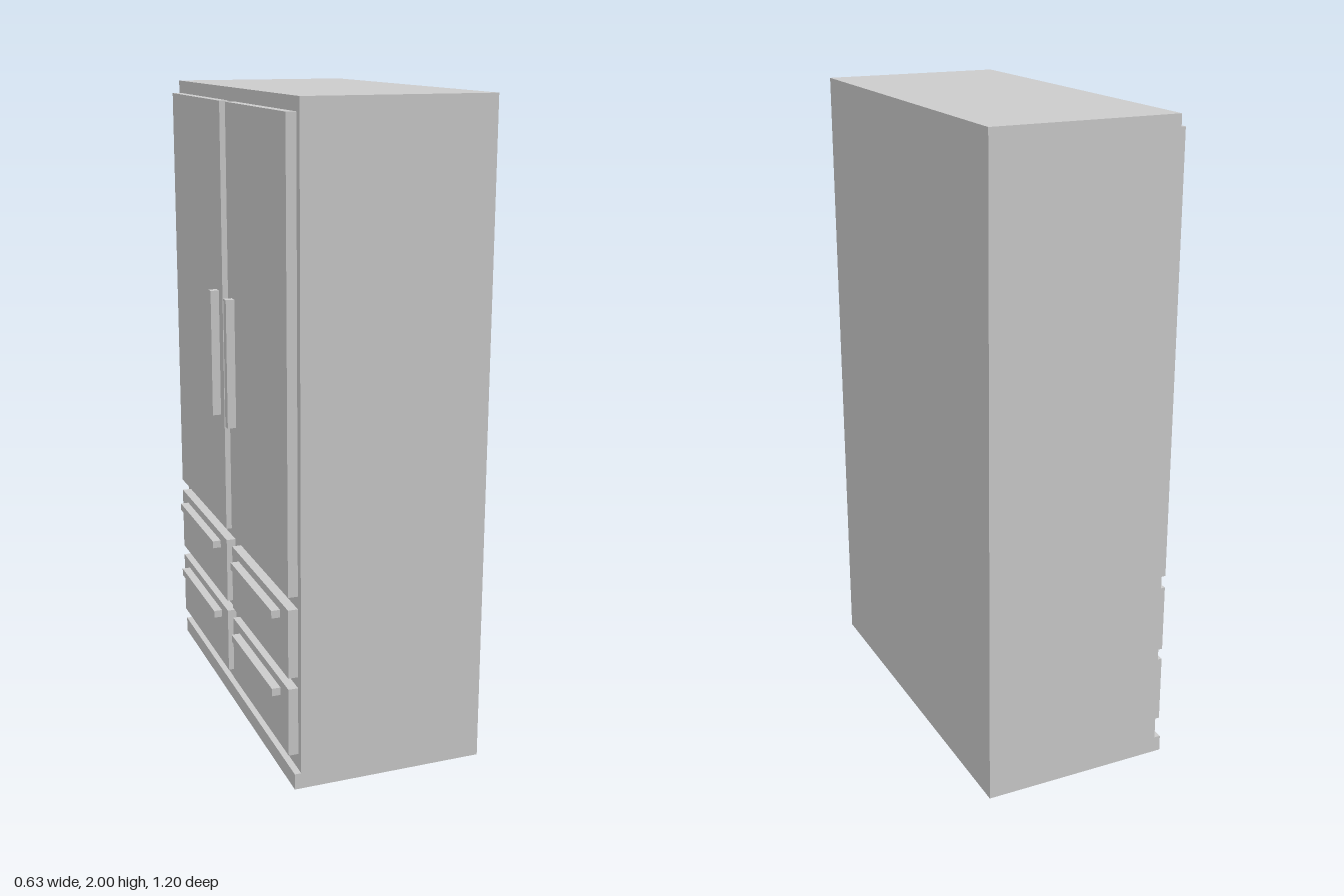
import * as THREE from 'three';

const material = new THREE.MeshStandardMaterial({ color: 0xcccccc });

// Box given by its extents along each axis
function box(name, [x0, x1], [y0, y1], [z0, z1]) {
  const mesh = new THREE.Mesh(new THREE.BoxGeometry(x1 - x0, y1 - y0, z1 - z0), material);
  mesh.name = name;
  mesh.position.set((x0 + x1) / 2, (y0 + y1) / 2, (z0 + z1) / 2);
  return mesh;
}

export function createModel() {
  const model = new THREE.Group();
  model.name = 'wardrobe';

  const PANEL_X = [-0.29, -0.26];
  const HANDLE_X = [-0.317, -0.29];

  // Carcass and projecting plinth
  model.add(box('carcass', [-0.26, 0.317], [0, 2], [-0.6, 0.6]));
  model.add(box('plinth', [-0.28, -0.26], [0, 0.05], [-0.6, 0.6]));

  // Each half has one tall door above two drawers, on the -x face
  for (const side of [-1, 1]) {
    const span = (a, b) => (side > 0 ? [a, b] : [-b, -a]);
    const half = new THREE.Group();
    half.name = side > 0 ? 'frontHalf' : 'backHalf';

    half.add(box('door', PANEL_X, [0.6, 1.96], span(0.03, 0.575)));
    half.add(box('doorHandle', HANDLE_X, [0.975, 1.378], span(0.069, 0.095)));

    for (const y of [0.1, 0.348]) {
      half.add(box('drawer', PANEL_X, [y, y + 0.213], span(0.03, 0.575)));
      half.add(box('drawerHandle', HANDLE_X, [y + 0.163, y + 0.187], span(0.1, 0.504)));
    }
    model.add(half);
  }
  return model;
}
